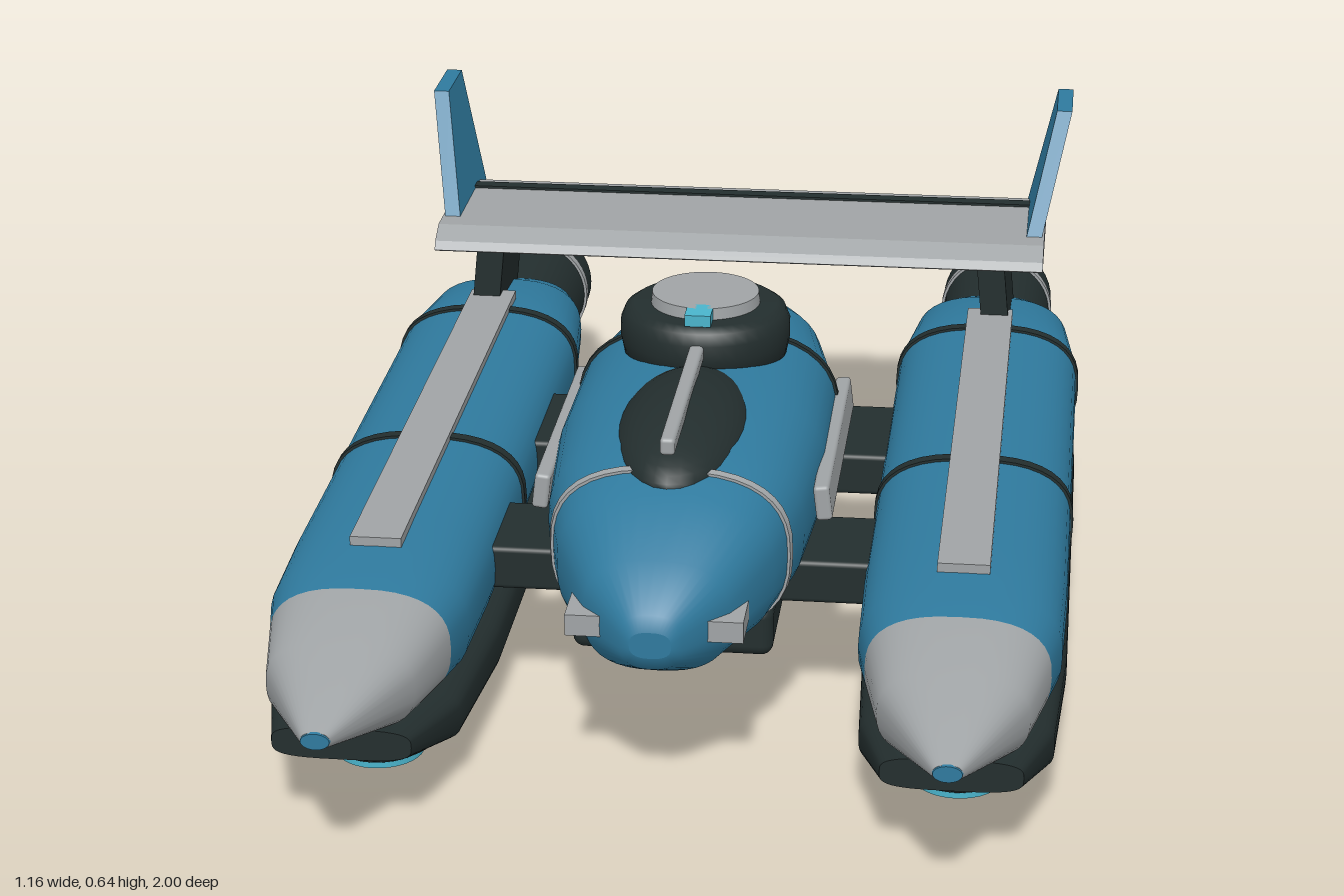
import * as THREE from 'three';
import { RoundedBoxGeometry } from 'three/addons/geometries/RoundedBoxGeometry.js';

const mat = (name, color) => Object.assign(new THREE.MeshStandardMaterial({ color }), { name });

// Superellipse loft: rows of [z, centreY, halfWidth, halfHeight], front to back
function loft(rows, power = 2.6, n = 40) {
  const pos = [], idx = [];
  const ring = ([z, cy, hw, hh]) => {
    for (let j = 0; j < n; j++) {
      const a = (j / n) * Math.PI * 2, c = Math.cos(a), s = Math.sin(a);
      pos.push(hw * Math.sign(c) * Math.abs(c) ** (2 / power),
        cy + hh * Math.sign(s) * Math.abs(s) ** (2 / power), z);
    }
  };
  rows.forEach(ring);
  for (let i = 0; i < rows.length - 1; i++) {
    for (let j = 0; j < n; j++) {
      const a = i * n + j, b = i * n + (j + 1) % n;
      idx.push(a, a + n, b, b, a + n, b + n);
    }
  }
  // End caps with their own vertices so the rims stay sharp
  [rows[0], rows[rows.length - 1]].forEach((row, end) => {
    const base = pos.length / 3;
    ring(row);
    pos.push(0, row[1], row[0]);
    for (let j = 0; j < n; j++) {
      const a = base + j, b = base + (j + 1) % n;
      idx.push(base + n, end ? b : a, end ? a : b);
    }
  });
  const g = new THREE.BufferGeometry();
  g.setAttribute('position', new THREE.Float32BufferAttribute(pos, 3));
  g.setIndex(idx);
  g.computeVertexNormals();
  return g;
}

// Thin band that follows a loft at z
function band(rows, z, width, grow, power) {
  const at = (t) => {
    const i = Math.max(1, rows.findIndex((r) => r[0] <= t));
    const p = rows[i - 1], q = rows[i], k = (p[0] - t) / (p[0] - q[0]);
    const r = p.map((v, m) => v + (q[m] - v) * k);
    return [t, r[1], r[2] + grow, r[3] + grow];
  };
  return loft([at(z + width / 2), at(z - width / 2)], power);
}

// Side profile of [z, y] points, extruded across x and leaned sideways
function slab(points, width, lean = 0, baseY = 0) {
  const shape = new THREE.Shape(points.map(([z, y]) => new THREE.Vector2(-z, y)));
  const g = new THREE.ExtrudeGeometry(shape, { depth: width, bevelEnabled: false });
  g.translate(0, 0, -width / 2).rotateY(Math.PI / 2);
  const p = g.attributes.position;
  for (let i = 0; i < p.count; i++) p.setX(i, p.getX(i) + (p.getY(i) - baseY) * lean);
  g.computeVertexNormals();
  return g;
}

const lathe = (pts, n = 40) => new THREE.LatheGeometry(pts.map(([r, y]) => new THREE.Vector2(r, y)), n);

export function createModel() {
  const blue = mat('hull blue', 0x2f7a9e);
  const gray = mat('light gray', 0xa0a4a6);
  const dark = mat('dark gray', 0x232e2e);
  const cyan = mat('glow cyan', 0x4ab4cc);
  const model = new THREE.Group();
  model.name = 'catamaranCraft';
  const add = (parent, name, geo, material, x = 0, y = 0, z = 0) => {
    const m = new THREE.Mesh(geo, material);
    m.name = name;
    m.position.set(x, y, z);
    parent.add(m);
    return m;
  };
  const box = (w, h, d, r = 0) => (r ? new RoundedBoxGeometry(w, h, d, 3, r) : new THREE.BoxGeometry(w, h, d));

  // Side hulls
  const hullRows = [[0.69, 0.225, 0.132, 0.088], [0.62, 0.225, 0.146, 0.095], [0.45, 0.225, 0.15, 0.099],
    [-0.45, 0.225, 0.15, 0.099], [-0.62, 0.218, 0.132, 0.09], [-0.73, 0.2, 0.105, 0.07], [-0.77, 0.185, 0.085, 0.045]];
  const noseRows = [[0.997, 0.228, 0.02, 0.012], [0.83, 0.227, 0.106, 0.066], [0.69, 0.225, 0.132, 0.088]];
  const keelRows = [[0.84, 0.142, 0.1, 0.024], [0.67, 0.105, 0.14, 0.045], [0.4, 0.09, 0.153, 0.053],
    [-0.4, 0.088, 0.153, 0.056], [-0.61, 0.097, 0.135, 0.045], [-0.77, 0.105, 0.085, 0.018]];
  for (const s of [1, -1]) {
    const hull = new THREE.Group();
    hull.name = s > 0 ? 'leftHull' : 'rightHull';
    hull.position.x = s * 0.428;
    model.add(hull);
    add(hull, 'hullBody', loft(hullRows), blue);
    add(hull, 'noseCone', loft(noseRows), gray);
    add(hull, 'noseTip', loft([[1, 0.228, 0.02, 0.012], [0.995, 0.228, 0.021, 0.013]], 2), blue);
    add(hull, 'keel', loft(keelRows, 3.5), dark);
    for (const z of [0.145, -0.425]) add(hull, 'hullSeam', band(hullRows, z, 0.02, 0.004), dark);
    add(hull, 'deckStrip', box(0.076, 0.014, 1.05), gray, 0, 0.328, 0.035);

    // Lift pads under the keel
    for (const z of [0.577, -0.28]) {
      add(hull, 'padHousing', lathe([[0, 0.012], [0.07, 0.012], [0.085, 0.022], [0.09, 0.07], [0, 0.07]]), dark, 0, 0, z);
      add(hull, 'padGlow', new THREE.CylinderGeometry(0.065, 0.065, 0.016, 32), cyan, 0, 0.008, z);
    }

    // Engine
    const engine = new THREE.Group();
    engine.name = 'engine';
    engine.position.y = 0.175;
    hull.add(engine);
    const round = (name, r1, r2, z1, z2, m) => add(engine, name,
      new THREE.CylinderGeometry(r1, r2, z1 - z2, 40).rotateX(Math.PI / 2), m, 0, 0, (z1 + z2) / 2);
    round('engineBody', 0.088, 0.098, -0.7, -0.985, dark);
    round('engineRing', 0.1, 0.1, -0.912, -0.932, gray);
    round('engineGlow', 0.076, 0.076, -0.98, -1, cyan);

    // Wing pylon and tail fin
    add(hull, 'wingPylon', slab([[-0.46, 0.28], [-0.46, 0.435], [-0.675, 0.435], [-0.675, 0.28]], 0.046, -s * 0.1, 0.38),
      dark, s * 0.003);
    add(model, 'tailFin', slab([[-0.49, 0.455], [-0.65, 0.64], [-0.78, 0.64], [-0.745, 0.45]], 0.026, s * 0.24, 0.46),
      blue, s * 0.497);

    // Struts, side rails and nose lights
    add(model, 'rearStrut', box(0.24, 0.068, 0.215, 0.008), dark, s * 0.24, 0.226, -0.108);
    add(model, 'frontStrut', box(0.24, 0.068, 0.175, 0.008), dark, s * 0.24, 0.226, 0.325);
    add(model, 'sideRail', box(0.024, 0.055, 0.45, 0.006), gray, s * 0.211, 0.342, 0.16).rotation.z = s * 0.12;
    add(model, 'noseLight', box(0.054, 0.032, 0.1), gray, s * 0.1, 0.286, 0.67);
  }

  // Rear wing
  add(model, 'rearWing', slab([[-0.412, 0.432], [-0.42, 0.446], [-0.455, 0.464], [-0.7, 0.464], [-0.725, 0.448],
    [-0.725, 0.438], [-0.715, 0.428], [-0.42, 0.428]], 1.03), gray);
  add(model, 'wingStripe', box(0.98, 0.008, 0.025), dark, 0, 0.464, -0.665);

  // Central fuselage
  const bodyRows = [[0.762, 0.28, 0.03, 0.02], [0.755, 0.282, 0.045, 0.042], [0.69, 0.292, 0.105, 0.085],
    [0.58, 0.313, 0.158, 0.117], [0.45, 0.325, 0.19, 0.133], [0.25, 0.332, 0.206, 0.137], [0, 0.332, 0.204, 0.138],
    [-0.18, 0.33, 0.167, 0.125], [-0.24, 0.328, 0.142, 0.112], [-0.32, 0.322, 0.098, 0.08]];
  add(model, 'fuselage', loft(bodyRows), blue);
  add(model, 'fuselageRing', band(bodyRows, 0.518, 0.012, 0.004), gray);
  add(model, 'fuselageSeam', band(bodyRows, 0.008, 0.014, 0.004), dark);
  add(model, 'belly', box(0.298, 0.08, 0.84, 0.018), dark, 0, 0.185, 0.09);

  // Canopy and roof turret
  const canopy = add(model, 'canopy', new THREE.SphereGeometry(1, 32, 20), dark, 0, 0.43, 0.34);
  canopy.scale.set(0.102, 0.062, 0.225);
  add(model, 'turretBase', lathe([[0, 0.44], [0.124, 0.44], [0.132, 0.48], [0.132, 0.505], [0.125, 0.523],
    [0.112, 0.532], [0, 0.532]]), dark, 0, 0, 0.052);
  add(model, 'turretCap', new THREE.CylinderGeometry(0.083, 0.085, 0.02, 40), gray, 0, 0.54, 0.052);
  add(model, 'turretSight', box(0.04, 0.018, 0.05), cyan, 0, 0.541, 0.142);
  add(model, 'barrel', box(0.022, 0.026, 0.39, 0.006), gray, 0, 0.494, 0.36);
  return model;
}
